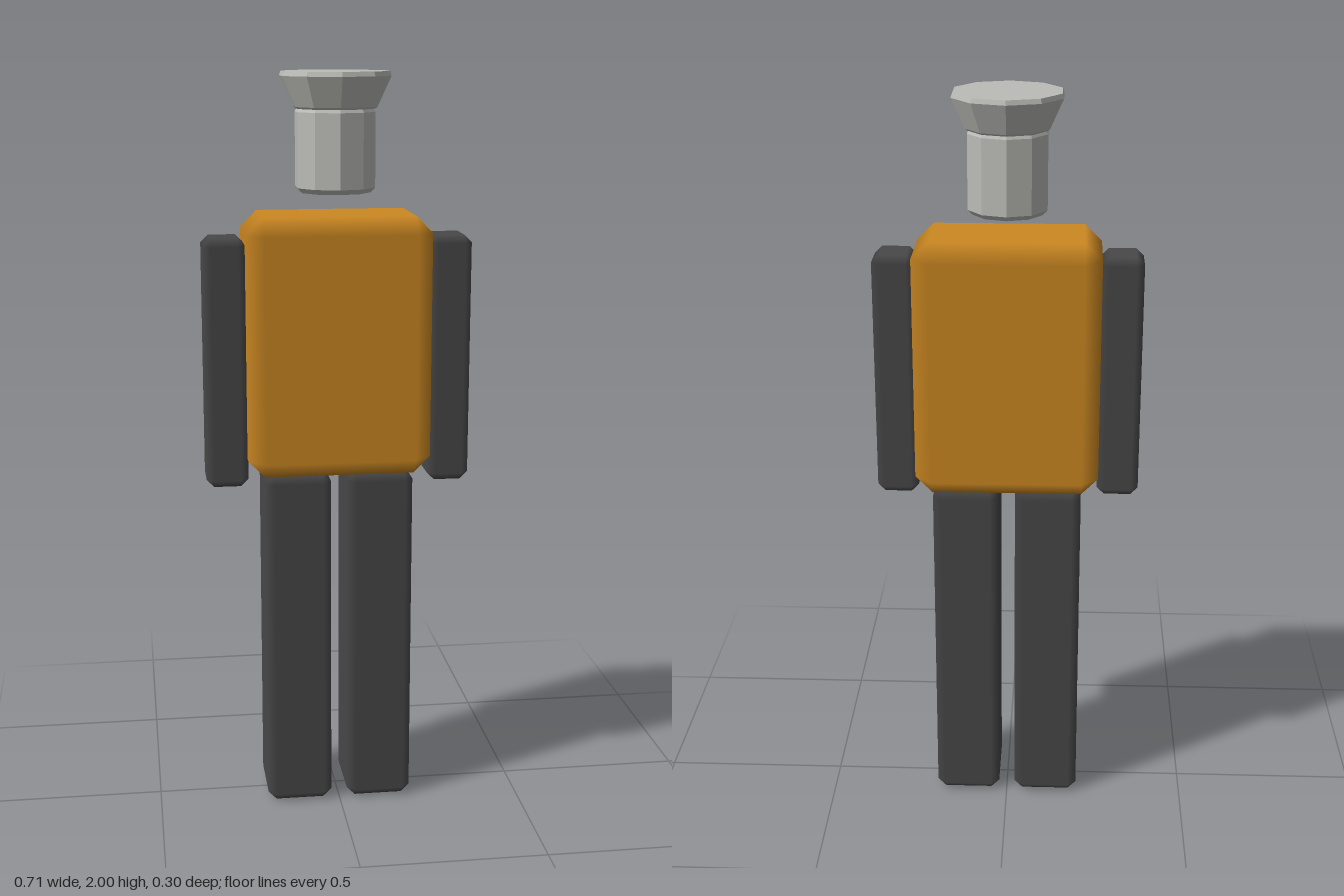
import * as THREE from 'three';
import { ConvexGeometry } from 'three/addons/geometries/ConvexGeometry.js';

const material = (name, color) => {
  const m = new THREE.MeshStandardMaterial({ color });
  m.name = name;
  return m;
};

// Box with single-step chamfers: main faces stay flat, chamfers blend smoothly
function chamferBox(min, max, bevel) {
  const half = max.map((v, i) => (v - min[i]) / 2);
  const points = [];
  for (let axis = 0; axis < 3; axis++)
    for (const sx of [-1, 1])
      for (const sy of [-1, 1])
        for (const sz of [-1, 1]) {
          const p = [sx, sy, sz].map((s, i) => s * (half[i] - (i === axis ? 0 : bevel)));
          points.push(new THREE.Vector3(...p));
        }
  const geo = new ConvexGeometry(points);
  const pos = geo.attributes.position;
  for (let i = 0; i < pos.count; i++) {
    // each corner lies on exactly one main face and takes its normal
    const p = [pos.getX(i), pos.getY(i), pos.getZ(i)];
    const n = p.map((v, k) => (half[k] - Math.abs(v) < bevel * 0.5 ? Math.sign(v) : 0));
    geo.attributes.normal.setXYZ(i, ...n);
  }
  return geo.translate(...max.map((v, i) => (v + min[i]) / 2));
}

export function createModel() {
  const model = new THREE.Group();
  model.name = 'blockFigure';
  const orange = material('orange', 0xcc8822);
  const charcoal = material('charcoal', 0x484848);
  const grey = material('lightGrey', 0xbbbbb7);
  grey.flatShading = true;

  const add = (name, geometry, mat) => {
    const mesh = new THREE.Mesh(geometry, mat);
    mesh.name = name;
    model.add(mesh);
  };
  const lathe = (profile) =>
    new THREE.LatheGeometry(profile.map(([r, y]) => new THREE.Vector2(r, y)), 10);

  add('torso', chamferBox([-0.245, 0.945, -0.145], [0.245, 1.635, 0.145], 0.045), orange);

  // Limbs, mirrored left and right
  for (const [side, s] of [['left', 1], ['right', -1]]) {
    const limb = (x0, x1, y0, y1, z0, z1, bevel) =>
      chamferBox([Math.min(s * x0, s * x1), y0, z0], [Math.max(s * x0, s * x1), y1, z1], bevel);
    add(side + 'Arm', limb(0.243, 0.355, 0.915, 1.58, -0.045, 0.088, 0.02), charcoal);
    add(side + 'Leg', limb(0.022, 0.2, 0, 0.948, -0.108, 0.11, 0.023), charcoal);
  }

  // Head floats above the torso, with a flared cap on top
  add('head', lathe([[0, 1.69], [0.094, 1.69], [0.107, 1.703], [0.107, 1.897], [0.1, 1.91], [0, 1.91]]), grey);
  add('flaredCap', lathe([[0, 1.905], [0.106, 1.905], [0.112, 1.91], [0.148, 1.988], [0.144, 2], [0, 2]]), grey);
  return model;
}
